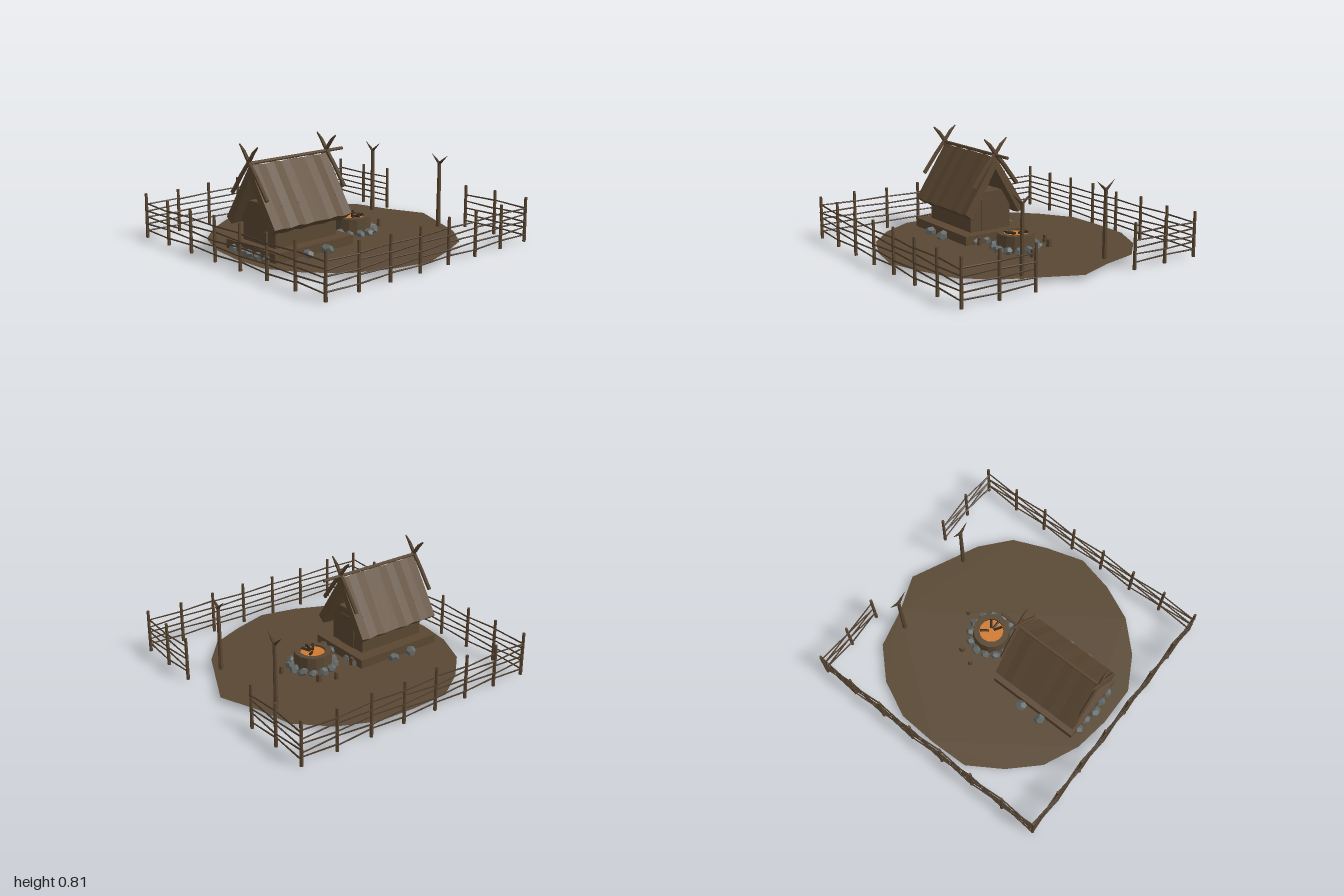
import * as THREE from 'three';

const mat = (name, color, double) => {
  const m = new THREE.MeshStandardMaterial({ color, flatShading: true });
  m.name = name;
  if (double) m.side = THREE.DoubleSide;
  return m;
};

export function createModel() {
  const root = new THREE.Group();
  root.name = 'fencedHut';
  const earth = mat('earth', 0x594833, true);
  const wood = mat('wood', 0x5b4732);
  const thatch = mat('thatch', 0x5e4a34);
  const darkWood = mat('darkWood', 0x4a3a2a);
  const stone = mat('stone', 0x626866);
  const ember = mat('ember', 0xd07a30);
  const char = mat('char', 0x35281d);

  let seed = 7;
  const rnd = () => (seed = (seed * 16807) % 2147483647) / 2147483647;
  const V = (x, y, z) => new THREE.Vector3(x, y, z);
  const group = (name, parent = root) => {
    const g = new THREE.Group();
    g.name = name;
    parent.add(g);
    return g;
  };
  const add = (parent, name, geo, material, x = 0, y = 0, z = 0) => {
    const m = new THREE.Mesh(geo, material);
    m.name = name;
    m.position.set(x, y, z);
    parent.add(m);
    return m;
  };
  // Tapered round stick between two points
  const stick = (parent, name, a, b, ra, rb, material, sides = 6) => {
    const dir = b.clone().sub(a);
    const mid = a.clone().add(b).multiplyScalar(0.5);
    const m = add(parent, name, new THREE.CylinderGeometry(rb, ra, dir.length(), sides), material, mid.x, mid.y, mid.z);
    m.quaternion.setFromUnitVectors(V(0, 1, 0), dir.normalize());
    return m;
  };
  // Faceted boulder, turned at random
  const boulder = (parent, x, z, r) => {
    const m = add(parent, 'stone', new THREE.DodecahedronGeometry(r), stone, x, 0.03 + r * 0.6, z);
    m.scale.set(1.05 + rnd() * 0.2, 0.8 + rnd() * 0.2, 0.85 + rnd() * 0.2);
    m.rotation.set(rnd() * 0.6, rnd() * 6.28, rnd() * 0.6);
  };

  // Trodden ground: an irregular flat patch
  const rim = [[0, 0.94], [0.29, 0.85], [0.545, 0.74], [0.73, 0.52], [0.97, 0], [0.86, -0.28], [0.785, -0.575],
    [0.57, -0.785], [0.295, -0.91], [0, -0.925], [-0.3, -0.915], [-0.55, -0.755], [-0.755, -0.555],
    [-0.875, -0.285], [-0.915, -0.015], [-0.91, 0.29], [-0.765, 0.545], [-0.55, 0.755], [-0.285, 0.875]];
  const patch = new THREE.ShapeGeometry(new THREE.Shape(rim.map(([x, z]) => new THREE.Vector2(x, -z))));
  add(root, 'ground', patch.rotateX(-Math.PI / 2), earth, 0, 0.035, 0);

  // Fence: posts and five rails woven from side to side
  const fence = group('fence');
  const E = 0.985;
  const bay = (2 * E) / 7;
  const fenceRun = (name, a, b, bays) => {
    const run = group(name, fence);
    const along = b.clone().sub(a).normalize();
    const side = V(-along.z, 0, along.x);
    const at = (t, y, off) => a.clone().lerp(b, t).addScaledVector(side, off).setY(y);
    for (let i = 0; i <= bays; i++) {
      const h = 0.318 + rnd() * 0.02;
      stick(run, 'post', at(i / bays, 0, 0), at(i / bays, h, 0), 0.013, 0.011, wood, 7);
    }
    for (let i = 0; i < bays; i++) {
      for (let k = 0; k < 5; k++) {
        const y = 0.055 + k * 0.05;
        const s = (i + k) % 2 ? 0.01 : -0.01;
        stick(run, 'rail', at(i / bays, y + (rnd() - 0.5) * 0.008, s), at((i + 1) / bays, y + (rnd() - 0.5) * 0.008, -s),
          0.0065, 0.005, darkWood, 5);
      }
    }
  };
  fenceRun('frontFence', V(-E, 0, E), V(E, 0, E), 7);
  fenceRun('backFence', V(-E, 0, -E), V(E, 0, -E), 7);
  fenceRun('rightFence', V(-E, 0, -E), V(-E, 0, E), 7);
  for (const s of [1, -1]) fenceRun('gateFence', V(E, 0, s * E), V(E, 0, s * (E - 2 * bay)), 2);

  // Hut: plinth, body, door
  const hut = group('hut');
  add(hut, 'plinth', new THREE.BoxGeometry(0.72, 0.07, 0.54), wood, -0.43, 0.068, 0);
  add(hut, 'body', new THREE.BoxGeometry(0.56, 0.295, 0.352), wood, -0.43, 0.248, 0);
  add(hut, 'door', new THREE.BoxGeometry(0.008, 0.24, 0.16), wood, -0.147, 0.222, 0);

  // Thatched roof: open chevron with ragged eaves and ridge
  const chevron = new THREE.Shape([[0, 0.665], [-0.265, 0.262], [-0.21, 0.22], [0, 0.575], [0.21, 0.22], [0.265, 0.262]]
    .map(([x, y]) => new THREE.Vector2(x, y)));
  const roof = new THREE.ExtrudeGeometry(chevron, { depth: 0.705, steps: 10, bevelEnabled: false });
  const p = roof.attributes.position;
  for (let i = 0; i < p.count; i++) p.setY(i, p.getY(i) + 0.005 * Math.sin(p.getZ(i) * 37));
  roof.rotateY(Math.PI / 2);
  roof.computeVertexNormals();
  add(hut, 'roof', roof, thatch, -0.785, 0, 0);

  // Ridge pole and crossed horn-shaped gable beams
  stick(hut, 'ridgePole', V(-0.79, 0.68, 0), V(0.072, 0.68, 0), 0.013, 0.012, wood, 8);
  const horn = [[-0.19, 0.45, 0.018], [-0.08, 0.595, 0.018], [0, 0.69, 0.017], [0.05, 0.757, 0.015], [0.098, 0.803, 0.006]];
  for (const x of [-0.787, -0.082]) {
    for (const s of [1, -1]) {
      const beam = group('gableBeam', hut);
      for (let i = 0; i < horn.length - 1; i++) {
        const [z0, y0, r0] = horn[i];
        const [z1, y1, r1] = horn[i + 1];
        const m = stick(beam, 'beamPart', V(x, y0, s * z0), V(x, y1, s * z1), r0, r1, wood, 6);
        m.scale.x = 0.75;
      }
    }
  }

  // Stones around the plinth
  const hutStones = group('hutStones');
  for (const s of [1, -1]) {
    for (const x of [-0.52, -0.35]) boulder(hutStones, x, s * 0.3, 0.043);
    for (const z of [0.09, 0.18]) {
      boulder(hutStones, -0.79, s * z, 0.036);
      boulder(hutStones, -0.08, s * z, 0.034);
    }
  }
  boulder(hutStones, -0.81, 0, 0.04);

  // Fire pit: hollow clay ring, glowing bed, charred logs, ring of stones
  const pit = group('firePit');
  pit.position.set(0.175, 0, 0);
  const ring = [[0.145, 0.035], [0.137, 0.155], [0.094, 0.155], [0.09, 0.135]].map(([r, y]) => new THREE.Vector2(r, y));
  add(pit, 'pitRing', new THREE.LatheGeometry(ring, 14), earth);
  add(pit, 'embers', new THREE.CylinderGeometry(0.094, 0.094, 0.01, 12), ember, 0, 0.137, 0);
  for (const a of [-0.7, 0.9, 1.6, 2.2]) {
    const c = Math.cos(a);
    const s = Math.sin(a);
    stick(pit, 'log', V(c * 0.02, 0.15, s * 0.02), V(c * 0.085, 0.165, s * 0.085), 0.01, 0.01, char, 6);
  }
  for (let i = 0; i < 13; i++) {
    const a = (i / 13) * Math.PI * 2;
    boulder(pit, Math.cos(a) * 0.163, Math.sin(a) * 0.163, 0.032 + rnd() * 0.006);
  }

  // Small stumps around the fire
  for (const [x, z, r] of [[0.165, -0.275, 0.019], [0.283, -0.225, 0.025], [0.43, 0.035, 0.019], [-0.04, 0.17, 0.02], [-0.06, -0.17, 0.022]]) {
    stick(root, 'stump', V(x, 0.03, z), V(x, 0.09, z), r, r * 0.75, wood, 8);
  }

  // Forked gate poles
  for (const s of [1, -1]) {
    const pole = group('gatePole');
    const z = s * 0.356;
    stick(pole, 'shaft', V(0.745, 0.015, z), V(0.745, 0.535, z), 0.018, 0.013, wood, 7);
    for (const d of [1, -1]) {
      stick(pole, 'prong', V(0.745, 0.525, z), V(0.745, 0.555, z + d * 0.035), 0.012, 0.008, darkWood, 6);
      stick(pole, 'prongTip', V(0.745, 0.553, z + d * 0.033), V(0.745, 0.592, z + d * 0.077), 0.008, 0.001, darkWood, 6);
    }
  }
  return root;
}
